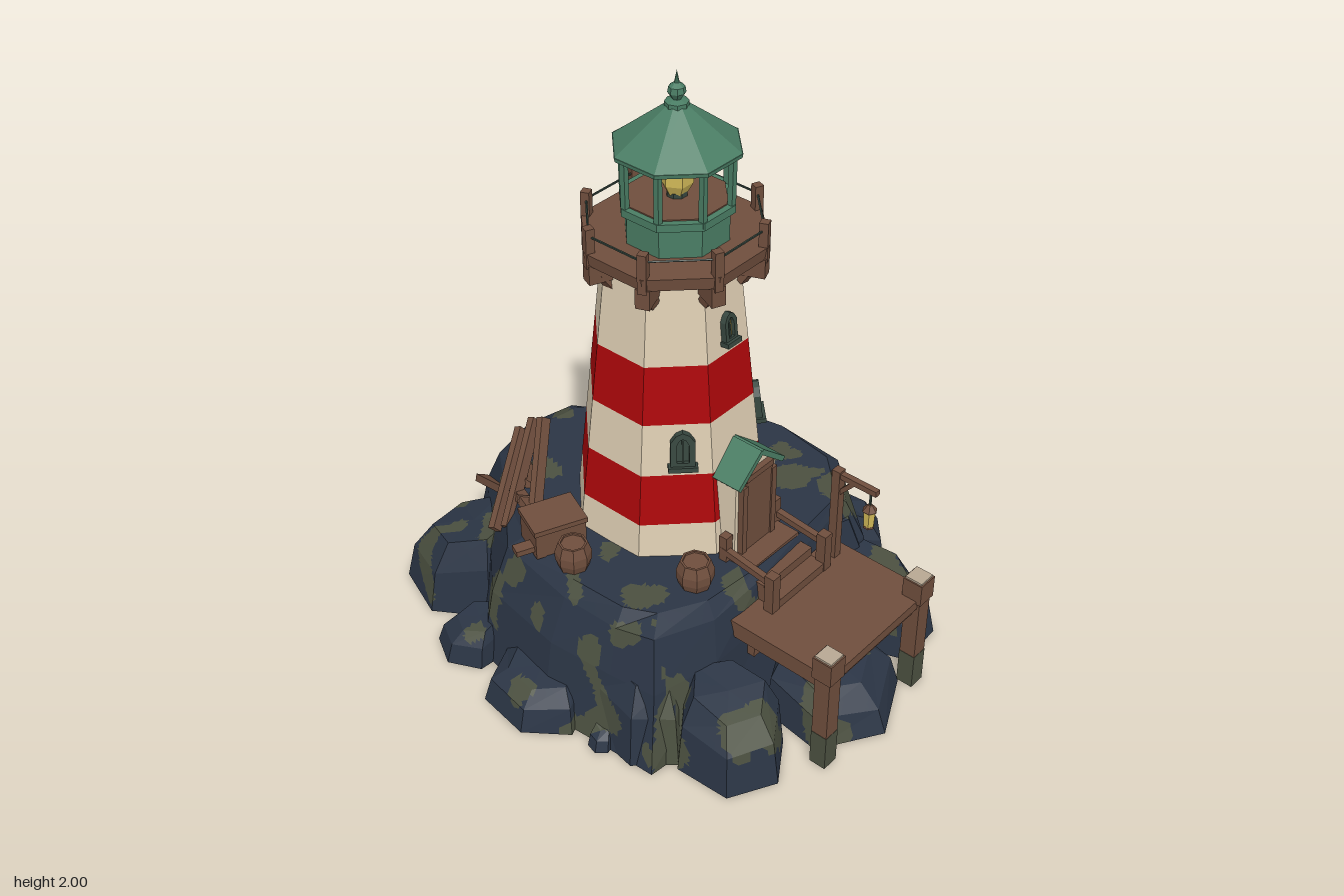
import * as THREE from 'three';

const mat = (name, color) => Object.assign(new THREE.MeshStandardMaterial({ color, flatShading: true }), { name });
const rock = mat('rock', 0x2b3545), moss = mat('moss', 0x4b5040), wood = mat('wood', 0x6f4e3d);
const cutWood = mat('cut wood', 0xb8a893), cream = mat('cream plaster', 0xddcdb2), red = mat('red paint', 0xac070a);
const green = mat('green paint', 0x4a7d64), dark = mat('dark frame', 0x37473f), glow = mat('lamp yellow', 0xd0b858);

let seed = 7;
const rand = () => (seed = (seed * 16807) % 2147483647) / 2147483647;
const jit = (s) => (rand() - 0.5) * s;
const V = (x, y, z) => new THREE.Vector3(x, y, z);

function add(parent, name, geo, material, x = 0, y = 0, z = 0) {
  const m = new THREE.Mesh(geo, material);
  m.name = name;
  m.position.set(x, y, z);
  parent.add(m);
  return m;
}
function group(parent, name, x = 0, y = 0, z = 0) {
  const g = new THREE.Group();
  g.name = name;
  g.position.set(x, y, z);
  parent.add(g);
  return g;
}
const box = (p, name, m, w, h, d, x, y, z) => add(p, name, new THREE.BoxGeometry(w, h, d), m, x, y, z);

// Octagonal drum with its flats on the axes; radii are measured to the flats
function drum(p, name, m, y0, y1, r0, r1, open = false) {
  const k = 1 / Math.cos(Math.PI / 8);
  const g = new THREE.CylinderGeometry(r1 * k, r0 * k, y1 - y0, 8, 1, open).rotateY(Math.PI / 8);
  return add(p, name, g, m, 0, (y0 + y1) / 2, 0);
}
// Square timber between two points
function beam(p, name, m, a, b, w, d = w) {
  const o = box(p, name, m, w, a.distanceTo(b), d, 0, 0, 0);
  o.position.copy(a).lerp(b, 0.5);
  o.quaternion.setFromUnitVectors(V(0, 1, 0), b.clone().sub(a).normalize());
  return o;
}

// Moss patches as x, z, radius, with wobbly edges
const patches = [[-0.46, -0.68, 0.07], [-0.27, -0.78, 0.06], [-0.38, -0.55, 0.06], [-0.2, -0.5, 0.06], [0.27, -0.5, 0.05],
  [0.4, -0.52, 0.08], [0.52, -0.66, 0.05], [-0.32, -0.22, 0.06], [-0.52, -0.27, 0.06], [-0.6, -0.38, 0.04], [0.53, -0.28, 0.06],
  [0.66, 0, 0.07], [0.45, 0.1, 0.06], [0.33, 0.22, 0.06], [-0.5, -0.04, 0.05], [-0.69, -0.06, 0.06], [-0.34, 0.02, 0.06],
  [-0.43, 0.23, 0.07], [-0.17, 0.34, 0.06], [0.4, 0.36, 0.06], [-0.53, 0.42, 0.06], [-0.37, 0.64, 0.08], [0.4, 0.52, 0.09],
  [0.1, -0.62, 0.06], [-0.1, -0.64, 0.06], [0.1, 0.62, 0.07], [-0.12, 0.7, 0.06], [0.63, 0.22, 0.06], [0.35, 0.68, 0.05], [-0.6, 0.18, 0.06]];
function isMoss(p) {
  const x = p.x + 0.035 * Math.sin(19 * p.z + 13 * p.y) + 0.01 * Math.sin(60 * p.z + 45 * p.y);
  const z = p.z + 0.035 * Math.sin(17 * p.x + 15 * p.y + 1) + 0.01 * Math.sin(55 * p.x - 40 * p.y);
  const size = 1 + 0.35 * Math.sin(16 * p.y + 7 * p.x - 6 * p.z);
  return patches.some(([a, b, r]) => Math.hypot(x - a, z - b) < r * size);
}

// Stone lofted through rings, faces cut finely and sorted into rock and moss
function stone(p, name, rings) {
  const lists = [[], []], n = rings[0].length, top = rings[rings.length - 1];
  const mid = (r) => r.reduce((s, v) => s.add(v), V(0, 0, 0)).divideScalar(n);
  const cut = (a, b, c) => {
    const ab = a.distanceTo(b), bc = b.distanceTo(c), ca = c.distanceTo(a), L = Math.max(ab, bc, ca);
    if (L < 0.025) {
      lists[isMoss(a.clone().add(b).add(c).divideScalar(3)) ? 1 : 0].push(a, b, c);
    } else if (L === ab) {
      const m = a.clone().lerp(b, 0.5); cut(a, m, c); cut(m, b, c);
    } else if (L === bc) {
      const m = b.clone().lerp(c, 0.5); cut(a, b, m); cut(a, m, c);
    } else {
      const m = c.clone().lerp(a, 0.5); cut(a, b, m); cut(m, b, c);
    }
  };
  const cTop = mid(top), cBot = mid(rings[0]);
  for (let i = 0; i < n; i++) {
    const j = (i + 1) % n;
    for (let k = 0; k + 1 < rings.length; k++) {
      cut(rings[k][i], rings[k][j], rings[k + 1][j]);
      cut(rings[k][i], rings[k + 1][j], rings[k + 1][i]);
    }
    cut(top[i], top[j], cTop);
    lists[0].push(rings[0][j], rings[0][i], cBot);
  }
  const g = new THREE.BufferGeometry().setFromPoints(lists.flat());
  g.addGroup(0, lists[0].length, 0);
  g.addGroup(lists[0].length, lists[1].length, 1);
  g.computeVertexNormals();
  add(p, name, g, [rock, moss]);
}

// Six-sided boulder whose top leans in towards the island
function boulder(p, [x, z, rx, rz, h]) {
  const n = 6, turn = rand() * 6, rs = Array.from({ length: n }, () => 1.06 + jit(0.14)), d = Math.hypot(x, z);
  const ring = (y, s, lean) => rs.map((r, i) => {
    const t = turn + (i / n) * Math.PI * 2, px = Math.cos(t) * rx * r * s, pz = -Math.sin(t) * rz * r * s;
    const inward = -(px * x + pz * z) / d;
    return V(x * (1 - lean / d) + px, y && y + jit(0.08 * h) + inward * 0.25 * (y / h), z * (1 - lean / d) + pz);
  });
  stone(p, 'boulder', [ring(0, 1, 0), ring(h * 0.62, 0.9, 0.01), ring(h * 0.95, 0.66, 0.03)]);
}

function island(p) {
  const base = [[0.66, 0], [0.63, -0.22], [0.52, -0.44], [0.27, -0.6], [0.19, -0.78], [0, -0.86], [-0.2, -0.79], [-0.36, -0.58],
    [-0.6, -0.34], [-0.66, 0], [-0.64, 0.22], [-0.63, 0.43], [-0.36, 0.46], [-0.1, 0.47], [0.15, 0.47], [0.47, 0.45], [0.62, 0.25]];
  const top = [[0.53, 0], [0.49, -0.2], [0.39, -0.4], [0.22, -0.52], [0.14, -0.6], [0, -0.62], [-0.15, -0.6], [-0.31, -0.44],
    [-0.46, -0.26], [-0.5, 0], [-0.5, 0.2], [-0.45, 0.3], [-0.3, 0.37], [-0.1, 0.39], [0.13, 0.39], [0.35, 0.37], [0.49, 0.22]];
  const ring = (y, t, j) => base.map(([x, z], i) =>
    V(x + (top[i][0] - x) * t + jit(j), y && y + jit(j * 1.5), z + (top[i][1] - z) * t + jit(j)));
  stone(p, 'main rock', [ring(0, 0, 0), ring(0.26, 0.32, 0.025), ring(0.42, 0.68, 0.02), ring(0.46, 1, 0.006)]);
  [[-0.38, -0.63, 0.2, 0.2, 0.28], [0.44, -0.58, 0.18, 0.18, 0.25], [0.65, -0.31, 0.12, 0.12, 0.14], [0.61, 0.02, 0.14, 0.18, 0.15],
    [-0.64, -0.05, 0.13, 0.18, 0.15], [-0.6, -0.39, 0.1, 0.11, 0.13], [-0.41, 0.56, 0.16, 0.18, 0.27], [0.38, 0.56, 0.16, 0.18, 0.25],
    [-0.01, 0.64, 0.22, 0.21, 0.19], [0.56, 0.28, 0.1, 0.15, 0.28], [-0.52, 0.3, 0.12, 0.15, 0.32], [0.2, -0.78, 0.03, 0.045, 0.06],
    [-0.64, 0.23, 0.04, 0.04, 0.07], [-0.35, 0.36, 0.16, 0.11, 0.4], [0.34, 0.36, 0.16, 0.11, 0.41]].forEach((b) => boulder(p, b));
}

// Arched window with a raised frame and sill
function archWindow(p, w, h, pane, x, y, z, turn) {
  const g = group(p, 'window', x, y, z);
  g.rotation.set(-0.105, turn, 0, 'YXZ');
  const arch = (a, b) => new THREE.Shape([[-a, -b], [a, -b], [a, b * 0.45], [a * 0.55, b * 0.85], [0, b], [-a * 0.55, b * 0.85], [-a, b * 0.45]]
    .map(([u, v]) => new THREE.Vector2(u, v)));
  const frame = arch(w / 2, h / 2);
  frame.holes.push(arch(w * 0.25, h * 0.34));
  add(g, 'window frame', new THREE.ExtrudeGeometry(frame, { depth: 0.03, bevelEnabled: false }), dark, 0, 0, -0.01);
  add(g, 'window pane', new THREE.ShapeGeometry(arch(w * 0.3, h * 0.38)), pane, 0, 0, 0.008);
  box(g, 'window sill', dark, w * 1.2, 0.016, 0.045, 0, -h / 2, 0.008);
  box(g, 'glazing bar', dark, 0.006, h * 0.76, 0.006, 0, 0, 0.012);
}

function tower(p) {
  const t = group(p, 'tower', 0, 0, -0.04), ap = (y) => 0.296 - 0.101 * (y - 0.46);
  const bands = [[0.43, 0.58, cream], [0.58, 0.76, red], [0.76, 0.94, cream], [0.94, 1.14, red], [1.14, 1.45, cream]];
  bands.forEach(([a, b, m]) => drum(t, m === red ? 'red band' : 'cream band', m, a, b, ap(a), ap(b), true));
  archWindow(t, 0.052, 0.1, glow, 0, 1.23, ap(1.23), 0);
  for (const s of [-1, 1]) archWindow(t, 0.076, 0.125, dark, s * 0.17, 0.858, 0.195, s * Math.PI / 4);
}

function gallery(p) {
  const g = group(p, 'gallery and lantern room', 0, 0, -0.025);
  drum(g, 'gallery deck', wood, 1.44, 1.48, 0.265, 0.27);
  const at = (i, r, y) => V(Math.sin((i + 0.5) * Math.PI / 4) * r, y, Math.cos((i + 0.5) * Math.PI / 4) * r);
  for (let i = 0; i < 8; i++) {
    const spin = (m) => { m.rotation.y = (i + 0.5) * Math.PI / 4; };
    const a = at(i, 0.275, 1.495), c = at(i, 0.228, 1.41);
    spin(box(g, 'railing post', wood, 0.028, 0.13, 0.028, a.x, a.y, a.z));
    spin(box(g, 'deck bracket', wood, 0.045, 0.065, 0.115, c.x, c.y, c.z));
    beam(g, 'bracket strut', wood, at(i, 0.205, 1.35), at(i, 0.25, 1.42), 0.035);
    beam(g, 'railing rope', dark, at(i, 0.275, 1.532), at(i + 1, 0.275, 1.532), 0.005);
  }
  // Lantern room
  const room = group(g, 'lantern room', 0, 0, 0.01);
  for (let i = 0; i < 8; i++) beam(room, 'lantern room post', green, at(i, 0.165, 1.58), at(i, 0.168, 1.78), 0.018);
  drum(room, 'lantern room wall', green, 1.475, 1.575, 0.15, 0.15);
  drum(room, 'lantern room ledge', green, 1.575, 1.6, 0.165, 0.165);
  drum(room, 'lantern room floor', wood, 1.598, 1.604, 0.145, 0.145);
  drum(room, 'roof eave', green, 1.757, 1.77, 0.18, 0.182);
  drum(room, 'ceiling', wood, 1.753, 1.758, 0.165, 0.165);
  drum(room, 'roof', green, 1.77, 1.895, 0.18, 0.03);
  const finial = [[0, 1.885], [0.036, 1.89], [0.036, 1.905], [0.014, 1.912], [0.027, 1.932], [0.024, 1.95], [0.008, 1.962], [0, 2]];
  add(room, 'finial', new THREE.LatheGeometry(finial.map(([x, y]) => new THREE.Vector2(x, y)), 8), green);
  drum(room, 'lamp stand', dark, 1.6, 1.62, 0.03, 0.03);
  add(room, 'lamp', new THREE.SphereGeometry(0.052, 6, 5).scale(1, 1.4, 1), glow, 0, 1.67, 0);
}

function porch(p) {
  const g = group(p, 'porch');
  const wall = new THREE.Shape([[-0.095, 0.44], [0.095, 0.44], [0.095, 0.74], [0, 0.82], [-0.095, 0.74]].map((v) => new THREE.Vector2(...v)));
  add(g, 'porch walls', new THREE.ExtrudeGeometry(wall, { depth: 0.16, bevelEnabled: false }), cream, 0, 0, 0.145);
  for (const s of [-1, 1]) {
    const r = box(g, 'porch roof', green, 0.142, 0.018, 0.18, s * 0.053, 0.787, 0.24);
    r.rotation.z = -s * 0.7;
    box(g, 'door frame', wood, 0.022, 0.28, 0.03, s * 0.07, 0.59, 0.31);
  }
  box(g, 'door', wood, 0.13, 0.29, 0.02, 0, 0.605, 0.31);
  box(g, 'door lintel', wood, 0.13, 0.022, 0.03, 0, 0.755, 0.31);
  // Steps with low side rails
  for (let i = 0; i < 3; i++) box(g, 'step', wood, 0.24, 0.035, 0.24 - i * 0.055, 0, 0.385 + i * 0.033, 0.38 - i * 0.027);
  for (const s of [-1, 1]) {
    box(g, 'stair post', wood, 0.035, 0.16, 0.035, s * 0.13, 0.43, 0.485);
    box(g, 'stair post', wood, 0.03, 0.13, 0.03, s * 0.12, 0.49, 0.29);
    beam(g, 'stair rail', wood, V(s * 0.13, 0.475, 0.5), V(s * 0.125, 0.5, 0.28), 0.022);
  }
}

function dock(p) {
  const g = group(p, 'dock');
  box(g, 'deck', wood, 0.51, 0.034, 0.385, 0.005, 0.354, 0.612);
  box(g, 'front beam', wood, 0.46, 0.035, 0.03, 0, 0.325, 0.775);
  box(g, 'back board', wood, 0.38, 0.14, 0.03, 0, 0.27, 0.455);
  for (const x of [-0.235, 0.225]) {
    box(g, 'mossy pile foot', moss, 0.058, 0.13, 0.058, x, 0.065, 0.785);
    box(g, 'pile', wood, 0.056, 0.32, 0.056, x, 0.285, 0.785);
    box(g, 'pile collar', wood, 0.07, 0.08, 0.07, x, 0.4, 0.785);
    box(g, 'pile cut top', cutWood, 0.06, 0.008, 0.06, x, 0.443, 0.785);
    beam(g, 'side beam', wood, V(x, 0.325, 0.43), V(x, 0.325, 0.78), 0.03);
  }
  // Lamp post with hanging lantern
  beam(g, 'lamp post', wood, V(0.2, 0.34, 0.475), V(0.2, 0.72, 0.475), 0.03);
  beam(g, 'lamp arm', wood, V(0.2, 0.703, 0.455), V(0.2, 0.703, 0.625), 0.02);
  beam(g, 'lamp brace', wood, V(0.2, 0.63, 0.48), V(0.2, 0.7, 0.54), 0.015);
  beam(g, 'lamp chain', dark, V(0.2, 0.64, 0.6), V(0.2, 0.7, 0.6), 0.006);
  add(g, 'lantern cap', new THREE.CylinderGeometry(0.008, 0.025, 0.022, 6), wood, 0.2, 0.635, 0.6);
  add(g, 'lantern glass', new THREE.CylinderGeometry(0.021, 0.018, 0.06, 6), glow, 0.2, 0.594, 0.6);
  add(g, 'lantern foot', new THREE.CylinderGeometry(0.019, 0.019, 0.008, 6), wood, 0.2, 0.562, 0.6);
}

function barrel(p, x, z, r, h) {
  const prof = [[0, 0], [0.8, 0], [1, 0.35], [1, 0.65], [0.8, 1], [0.68, 1], [0.66, 0.95], [0, 0.95]];
  add(p, 'barrel', new THREE.LatheGeometry(prof.map(([a, b]) => new THREE.Vector2(a * r, b * h)), 8), wood, x, 0.45, z);
}

function cargo(p) {
  const g = group(p, 'cargo and wreckage');
  [[0.335, -0.22, 0.062, 0.14], [0.37, -0.11, 0.062, 0.15], [-0.45, -0.05, 0.058, 0.1], [-0.265, 0.29, 0.06, 0.1]].forEach((b) => barrel(g, ...b));
  const c = group(g, 'crate', -0.405, 0.505, -0.18);
  c.rotation.y = -0.4;
  box(c, 'crate body', wood, 0.17, 0.1, 0.13, 0, 0, 0);
  box(c, 'crate lid', wood, 0.18, 0.018, 0.14, 0, 0.052, 0);
  box(c, 'loose board', wood, 0.09, 0.02, 0.04, -0.1, -0.02, 0.03);
  // Broken planks sliding down the slope behind the tower
  [[-0.4, 0.47, -0.22, -0.31, 0.46, -0.45], [-0.34, 0.47, -0.38, -0.2, 0.28, -0.74], [-0.38, 0.41, -0.3, -0.16, 0.66, -0.455],
    [-0.42, 0.4, -0.38, -0.14, 0.61, -0.52], [-0.43, 0.37, -0.43, -0.16, 0.56, -0.565], [-0.28, 0.47, -0.42, -0.15, 0.45, -0.56]]
    .forEach(([a, b, c1, d, e, f]) => beam(g, 'broken plank', wood, V(a, b, c1), V(d, e, f), 0.04, 0.025));
}

export function createModel() {
  seed = 7;
  const model = new THREE.Group();
  model.name = 'lighthouse';
  [island, tower, gallery, porch, dock, cargo].forEach((build) => build(model));
  return model;
}
